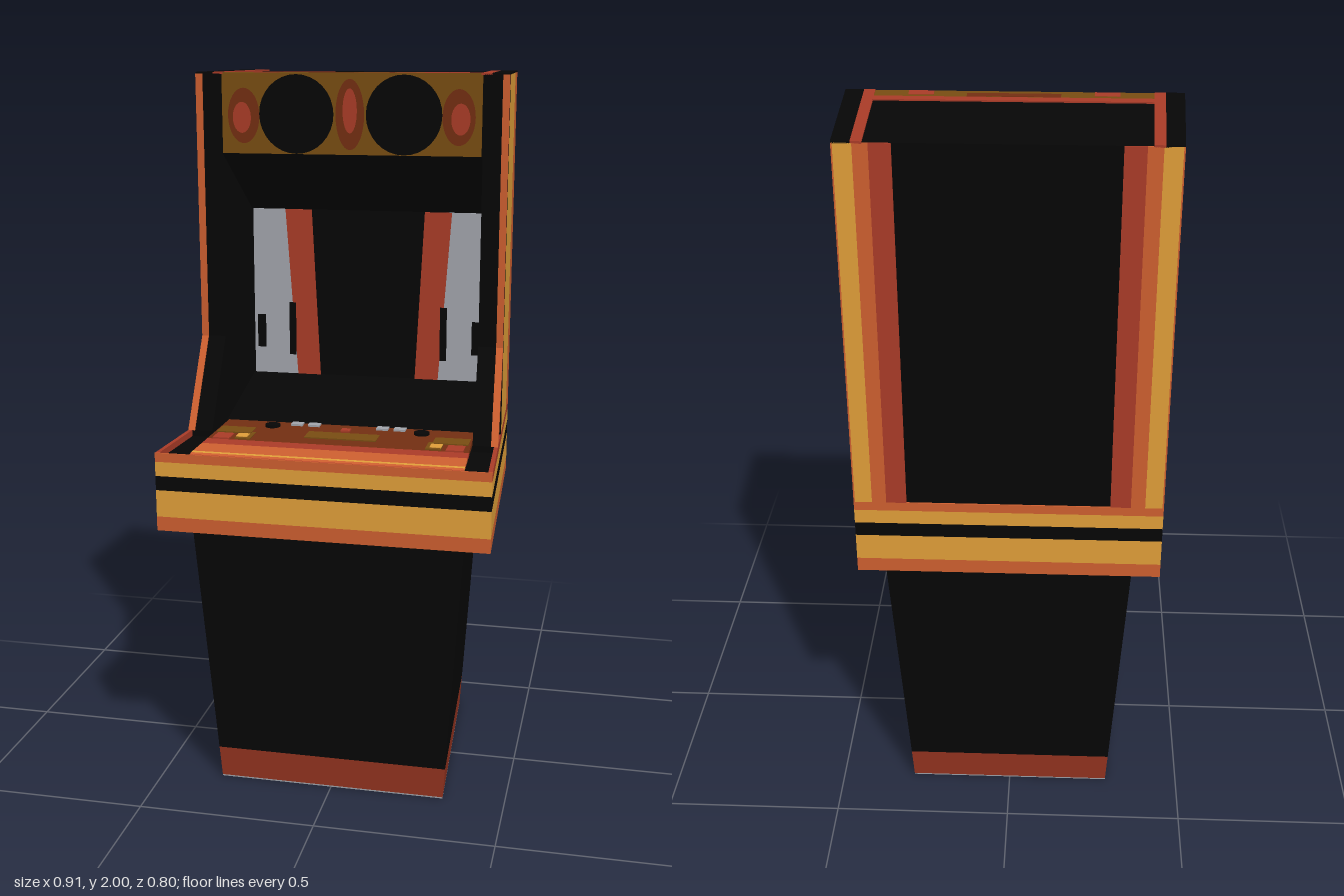
import * as THREE from 'three';

export function createModel() {
  const root = new THREE.Group();
  root.name = 'arcadeCabinet';
  const paint = (name, color) => {
    const m = new THREE.MeshStandardMaterial({ color });
    m.name = name;
    return m;
  };
  const black = paint('black', 0x060606), yellow = paint('yellow', 0xe2a03a), orange = paint('orange', 0xd06030),
    red = paint('red', 0xac3c28), brown = paint('brown', 0x742f12), olive = paint('olive', 0x7a4e12),
    grey = paint('grey', 0xa4a7ae), kickRed = paint('kickRed', 0x963420);

  // The cabinet widens towards the front; the pedestal also widens upwards
  const flare = (v) => { v.x *= 1 + 0.129 * v.z; };
  const pedestal = (v) => {
    const t = v.y / 0.8, front = v.z > 0;
    v.x *= front ? 0.325 + 0.055 * t : 0.288 + 0.047 * t;
    v.z = front ? 0.28 + 0.05 * t : -0.345 - 0.05 * t;
  };

  function add(name, mat, geo, warp, parent = root) {
    if (warp) {
      const p = geo.attributes.position, v = new THREE.Vector3();
      for (let i = 0; i < p.count; i++) {
        v.fromBufferAttribute(p, i);
        warp(v);
        p.setXYZ(i, v.x, v.y, v.z);
      }
      geo.computeVertexNormals();
    }
    const mesh = new THREE.Mesh(geo, mat);
    mesh.name = name;
    parent.add(mesh);
    return mesh;
  }

  // Box given by its limits on each axis
  function block(name, mat, x0, x1, y0, y1, z0, z1, warp = flare) {
    const g = new THREE.BoxGeometry(x1 - x0, y1 - y0, z1 - z0);
    g.translate((x0 + x1) / 2, (y0 + y1) / 2, (z0 + z1) / 2);
    return add(name, mat, g, warp);
  }

  // Flat polygon with a little thickness, facing +z
  function polygon(points, depth) {
    const shape = new THREE.Shape(points.map(([a, b]) => new THREE.Vector2(a, b)));
    return new THREE.ExtrudeGeometry(shape, { depth, bevelEnabled: false });
  }

  // Side profile of [z, y] points swept from x0 to x1
  function sweep(name, mat, profile, x0, x1) {
    const g = polygon(profile, x1 - x0);
    g.rotateY(-Math.PI / 2);
    g.translate(x1, 0, 0);
    return add(name, mat, g, flare);
  }

  // Pedestal
  block('floorPlate', grey, -1, 1, 0, 0.004, -1, 1, pedestal);
  block('kickBand', kickRed, -1, 1, 0.004, 0.095, -1, 1, pedestal);
  block('pedestal', black, -1, 1, 0.095, 0.8, -1, 1, pedestal);

  // Striped belt with a raised rim around a sunken deck
  [[0.79, 0.83, orange], [0.83, 0.905, yellow], [0.905, 0.945, black], [0.945, 0.985, yellow]]
    .forEach(([a, b, m]) => block('beltStripe', m, -0.434, 0.434, a, b, -0.4, 0.4));
  block('beltDeck', black, -0.425, 0.425, 0.98, 0.992, -0.38, 0.396);
  block('beltRimFront', orange, -0.434, 0.434, 0.985, 1.01, 0.396, 0.4);
  block('beltRimBack', orange, -0.434, 0.434, 0.985, 1.01, -0.4, -0.39);

  // Upper body with the screen recess
  sweep('body', black, [[-0.396, 0.985], [0.02, 0.985], [0.02, 1.012], [-0.24, 1.1], [-0.24, 1.6],
    [0.012, 1.78], [0.012, 1.996], [-0.396, 1.996]], -0.365, 0.365);

  // Painted front strip of the roof
  block('roofFrontTrim', red, -0.357, 0.357, 1.994, 2, -0.065, -0.035);
  block('roofFrontStrip', olive, -0.365, 0.365, 1.994, 1.999, -0.035, 0.018);
  block('roofFrontCentre', brown, -0.12, 0.12, 1.994, 2, -0.03, -0.002);

  for (const s of [-1, 1]) {
    const mBlock = (name, mat, a, b, ...rest) =>
      block(name, mat, Math.min(s * a, s * b), Math.max(s * a, s * b), ...rest);
    const mSweep = (name, mat, profile, a, b) =>
      sweep(name, mat, profile, Math.min(s * a, s * b), Math.max(s * a, s * b));

    mBlock('beltRimSide', red, 0.423, 0.434, 0.985, 1.01, -0.39, 0.396);

    // Side wall with its wing beside the controls
    mSweep('sideWall', black, [[-0.396, 0.985], [0.15, 0.985], [0.15, 1.01], [0.02, 1.26],
      [0.02, 1.996], [-0.396, 1.996]], 0.365, 0.43);
    mSweep('sideFrontEdge', orange, [[0.15, 1.01], [0.154, 1.01], [0.024, 1.26], [0.024, 1.996],
      [0.02, 1.996], [0.02, 1.26]], 0.415, 0.434);
    mSweep('wingSideEdge', orange, [[0.12, 1.01], [0.15, 1.01], [0.02, 1.26], [0.02, 1.225]], 0.43, 0.434);
    mBlock('sideYellowStripe', yellow, 0.43, 0.434, 1.01, 1.996, -0.28, 0);
    mBlock('sideOrangeStripe', orange, 0.43, 0.434, 1.01, 1.996, -0.4, -0.28);
    mBlock('sideBlackStripe', black, 0.43, 0.434, 1.01, 1.996, 0, 0.02);

    // Roof and back trim
    mBlock('roofSideTrim', red, 0.357, 0.386, 1.994, 2, -0.4, 0.02);
    mBlock('roofEdgeTrim', black, 0.386, 0.434, 1.994, 2, -0.4, 0.02);
    mBlock('roofFrontMark', red, 0.205, 0.27, 1.994, 2, -0.018, 0.016);
    mBlock('backYellowStripe', yellow, 0.382, 0.43, 1.01, 1.996, -0.4, -0.396);
    mBlock('backOrangeStripe', orange, 0.342, 0.382, 1.01, 1.996, -0.4, -0.396);
    mBlock('backRedStripe', red, 0.285, 0.342, 1.01, 1.996, -0.4, -0.396);

    // Screen side art
    const art = (name, mat, pts, z) => {
      const g = polygon(pts.map(([x, y]) => [s * x, y]), 0.003);
      g.translate(0, 0, z);
      add(name, mat, g);
    };
    art('screenGreyPanel', grey, [[0.21, 1.1], [0.35, 1.1], [0.35, 1.6], [0.24, 1.6]], -0.24);
    art('screenRedStripe', red, [[0.145, 1.1], [0.215, 1.1], [0.25, 1.6], [0.17, 1.6]], -0.238);
    art('screenMark', black, [[0.315, 1.18], [0.34, 1.18], [0.34, 1.28], [0.315, 1.28]], -0.236);
    art('screenMark', black, [[0.22, 1.16], [0.24, 1.16], [0.24, 1.32], [0.22, 1.32]], -0.234);
  }

  // Upright marquee
  const marquee = new THREE.Group();
  marquee.name = 'marquee';
  marquee.position.set(0, 1.888, 0.015);
  root.add(marquee);
  const disc = (name, mat, x, y, rx, ry, z) => {
    const g = new THREE.CircleGeometry(1, 32);
    g.scale(rx, ry, 1);
    g.translate(x, y, z);
    add(name, mat, g, null, marquee);
  };
  add('marqueePanel', olive, new THREE.BoxGeometry(0.724, 0.216, 0.006), null, marquee);
  disc('marqueeCentre', brown, 0, 0, 0.04, 0.095, 0.004);
  disc('marqueeCentreMark', red, 0, 0.01, 0.02, 0.06, 0.005);
  for (const s of [-1, 1]) {
    disc('marqueePatch', brown, s * 0.3, -0.005, 0.045, 0.075, 0.004);
    disc('marqueePatchMark', red, s * 0.305, -0.01, 0.026, 0.042, 0.005);
    disc('marqueeDisc', black, s * 0.15, 0, 0.105, 0.107, 0.006);
  }

  // Control panel, rolled down towards the front in coloured bands
  const bands = [[0.02, 1.012, brown], [0.205, 1.004, red], [0.25, 1.002, orange], [0.32, 0.999, yellow],
    [0.332, 0.998, orange], [0.345, 0.996, red], [0.36, 0.99, red]];
  for (let i = 0; i + 1 < bands.length; i++) {
    const [z0, y0, mat] = bands[i], [z1, y1] = bands[i + 1];
    sweep('controlPanelBand', mat, [[z0, 0.985], [z1, 0.985], [z1, y1], [z0, y0]], -0.36, 0.36);
  }

  // Painted patches and small controls on the panel
  const patch = (name, mat, x, z, w, d, h = 0.004) => {
    const y = 1.013 - 0.043 * (z - 0.02);
    block(name, mat, x - w / 2, x + w / 2, y - 0.008, y + h, z - d / 2, z + d / 2, null);
  };
  patch('panelPad', olive, 0, 0.124, 0.205, 0.065, 0.001);
  patch('centreButton', red, 0, 0.072, 0.026, 0.026);
  for (const s of [-1, 1]) {
    patch('olivePatch', olive, s * 0.31, 0.115, 0.1, 0.06, 0.001);
    patch('olivePatchInner', olive, s * 0.27, 0.165, 0.044, 0.07, 0.0015);
    patch('redPatch', red, s * 0.33, 0.178, 0.048, 0.055, 0.002);
    patch('yellowButton', yellow, s * 0.275, 0.172, 0.032, 0.034);
    patch('greyButton', grey, s * 0.1, 0.036, 0.034, 0.028);
    patch('greyButton', grey, s * 0.15, 0.036, 0.034, 0.028);
    const knob = new THREE.CylinderGeometry(0.022, 0.022, 0.01, 16);
    knob.translate(s * 0.217, 1.012, 0.063);
    add('knob', black, knob);
  }
  return root;
}
